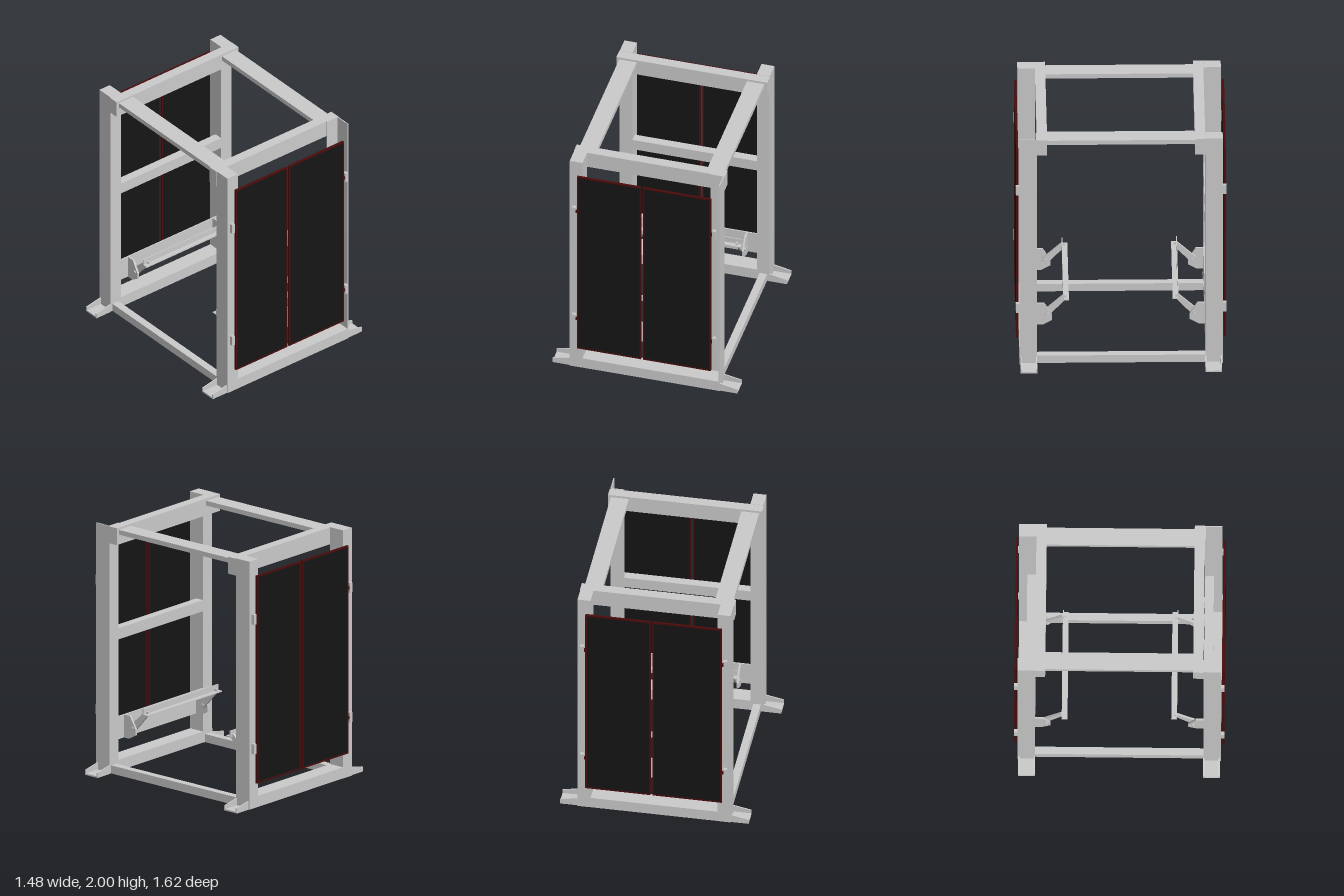
import * as THREE from 'three';

const grey = new THREE.MeshStandardMaterial({ color: 0xcccccc, side: THREE.DoubleSide });
const black = new THREE.MeshStandardMaterial({ color: 0x151515 });
const red = new THREE.MeshStandardMaterial({ color: 0x4a0c0c });

// Box given by its limits on each axis
function box(parent, name, x0, x1, y0, y1, z0, z1, mat = grey) {
  const mesh = new THREE.Mesh(new THREE.BoxGeometry(x1 - x0, y1 - y0, z1 - z0), mat);
  mesh.position.set((x0 + x1) / 2, (y0 + y1) / 2, (z0 + z1) / 2);
  mesh.name = name;
  parent.add(mesh);
  return mesh;
}

// Plate with an outline in (z, y), extruded along x from x0
function sidePlate(parent, name, points, x0, thickness, holes = []) {
  const shape = new THREE.Shape(points.map(([z, y]) => new THREE.Vector2(-z, y)));
  for (const [z, y, r] of holes) {
    shape.holes.push(new THREE.Path().absarc(-z, y, r, 0, Math.PI * 2, true));
  }
  const geo = new THREE.ExtrudeGeometry(shape, { depth: thickness, bevelEnabled: false, curveSegments: 8 });
  geo.rotateY(Math.PI / 2);
  const mesh = new THREE.Mesh(geo, grey);
  mesh.position.x = x0;
  mesh.name = name;
  parent.add(mesh);
}

// Upward-open foot channel with tapering flanges
function foot(parent, side) {
  const g = new THREE.Group();
  g.name = 'foot';
  box(g, 'footPlate', 0.6, 0.74, 0, 0.012, 0.648, 0.778);
  const flange = new THREE.Shape([[0.6, 0], [0.74, 0], [0.74, 0.04], [0.6, 0.068]].map(p => new THREE.Vector2(...p)));
  for (const z of [0.648, 0.768]) {
    const m = new THREE.Mesh(new THREE.ExtrudeGeometry(flange, { depth: 0.01, bevelEnabled: false }), grey);
    m.position.z = z;
    m.name = 'footFlange';
    g.add(m);
  }
  if (side < 0) {
    g.rotation.y = Math.PI;
    g.position.z = 1.426;
  }
  parent.add(g);
}

// Door leaf: black sheet within a thin red border
function doorLeaf(parent, x0, x1) {
  const g = new THREE.Group();
  g.name = 'doorLeaf';
  const y0 = 0.2, y1 = 1.875, b = 0.012, z0 = 0.792, z1 = 0.81;
  box(g, 'sheet', x0 + b, x1 - b, y0 + b, y1 - b, z0 + 0.002, z1 - 0.002, black);
  box(g, 'borderLeft', x0, x0 + b, y0, y1, z0, z1, red);
  box(g, 'borderRight', x1 - b, x1, y0, y1, z0, z1, red);
  box(g, 'borderBottom', x0 + b, x1 - b, y0, y0 + b, z0, z1, red);
  box(g, 'borderTop', x0 + b, x1 - b, y1 - b, y1, z0, z1, red);
  parent.add(g);
}

function hinge(parent, s, y) {
  const g = new THREE.Group();
  g.name = 'hinge';
  const a = s * 0.547, b = s * 0.575;
  box(g, 'hingePlate', Math.min(a, b), Math.max(a, b), y - 0.04, y + 0.04, 0.785, 0.812);
  const pin = new THREE.Mesh(new THREE.CylinderGeometry(0.008, 0.008, 0.025, 10), red);
  pin.position.set(s * 0.541, y, 0.8);
  pin.name = 'hingePin';
  g.add(pin);
  parent.add(g);
}

// Everything on one end of the frame, built at +z
function endFrame(openPost) {
  const g = new THREE.Group();
  g.name = 'endFrame';

  // Posts; one is an open angle section
  for (const s of [-1, 1]) {
    if (s === openPost) {
      const t = s * 0.592;
      box(g, 'postOuterWall', Math.min(t, s * 0.6), Math.max(t, s * 0.6), 0, 2, 0.65, 0.785);
      box(g, 'postInnerWall', Math.min(s * 0.49, t), Math.max(s * 0.49, t), 0, 2, 0.65, 0.658);
    } else {
      box(g, 'post', s < 0 ? -0.6 : 0.498, s < 0 ? -0.498 : 0.6, 0, 2, 0.65, 0.785);
    }
    foot(g, s);
  }

  // Cross members
  box(g, 'topBeam', -0.604, 0.604, 1.862, 1.998, 0.57, 0.65);
  box(g, 'middleBeam', -0.5, 0.5, 1.06, 1.15, 0.65, 0.72);
  box(g, 'baseBeam', -0.599, 0.599, 0, 0.09, 0.652, 0.784);
  box(g, 'lowerPlate', -0.5, 0.5, 0.255, 0.44, 0.65, 0.66);

  // Double doors and hinges
  doorLeaf(g, -0.535, -0.024);
  doorLeaf(g, -0.008, 0.535);
  for (const s of [-1, 1]) for (const y of [0.485, 1.53]) hinge(g, s, y);

  // Rail on two angled arms with side brackets
  for (const s of [-1, 1]) {
    sidePlate(g, 'armBracket', [[0.65, 0.255], [0.6, 0.255], [0.53, 0.295], [0.53, 0.34], [0.59, 0.44], [0.65, 0.44]],
      s * 0.42 - 0.008, 0.016);
    sidePlate(g, 'arm', [[0.595, 0.34], [0.585, 0.32], [0.555, 0.32], [0.535, 0.345], [0.42, 0.475], [0.42, 0.5], [0.45, 0.5], [0.59, 0.37]],
      s * 0.4 - 0.009, 0.018, [[0.565, 0.345, 0.01]]);
    const bolt = new THREE.Mesh(new THREE.CylinderGeometry(0.014, 0.014, 0.055, 10), grey);
    bolt.rotation.z = Math.PI / 2;
    bolt.position.set(s * 0.41, 0.345, 0.565);
    bolt.name = 'armBolt';
    g.add(bolt);
  }
  box(g, 'railShelf', -0.435, 0.445, 0.476, 0.484, 0.4, 0.49 - 0.045);
  box(g, 'railLip', -0.435, 0.445, 0.484, 0.53, 0.438, 0.445);
  return g;
}

export function createModel() {
  const model = new THREE.Group();
  model.name = 'doorFrameRack';

  // Front end, and the back end mirrored by half a turn
  model.add(endFrame(1));
  const back = endFrame(0);
  back.rotation.y = Math.PI;
  model.add(back);

  // Side members joining the two ends
  for (const s of [-1, 1]) {
    const g = new THREE.Group();
    g.name = 'sideMembers';
    const c = s * 0.511;
    box(g, 'topRail', c - 0.07, c + 0.07, 1.972, 1.98, -0.57, 0.57);
    for (const e of [-0.07, 0.062]) box(g, 'topRailFlange', c + e, c + e + 0.008, 1.942, 1.972, -0.57, 0.57);
    box(g, 'baseRail', s * 0.55 - 0.03, s * 0.55 + 0.03, 0, 0.065, -0.65, 0.65);
    model.add(g);
  }
  return model;
}
